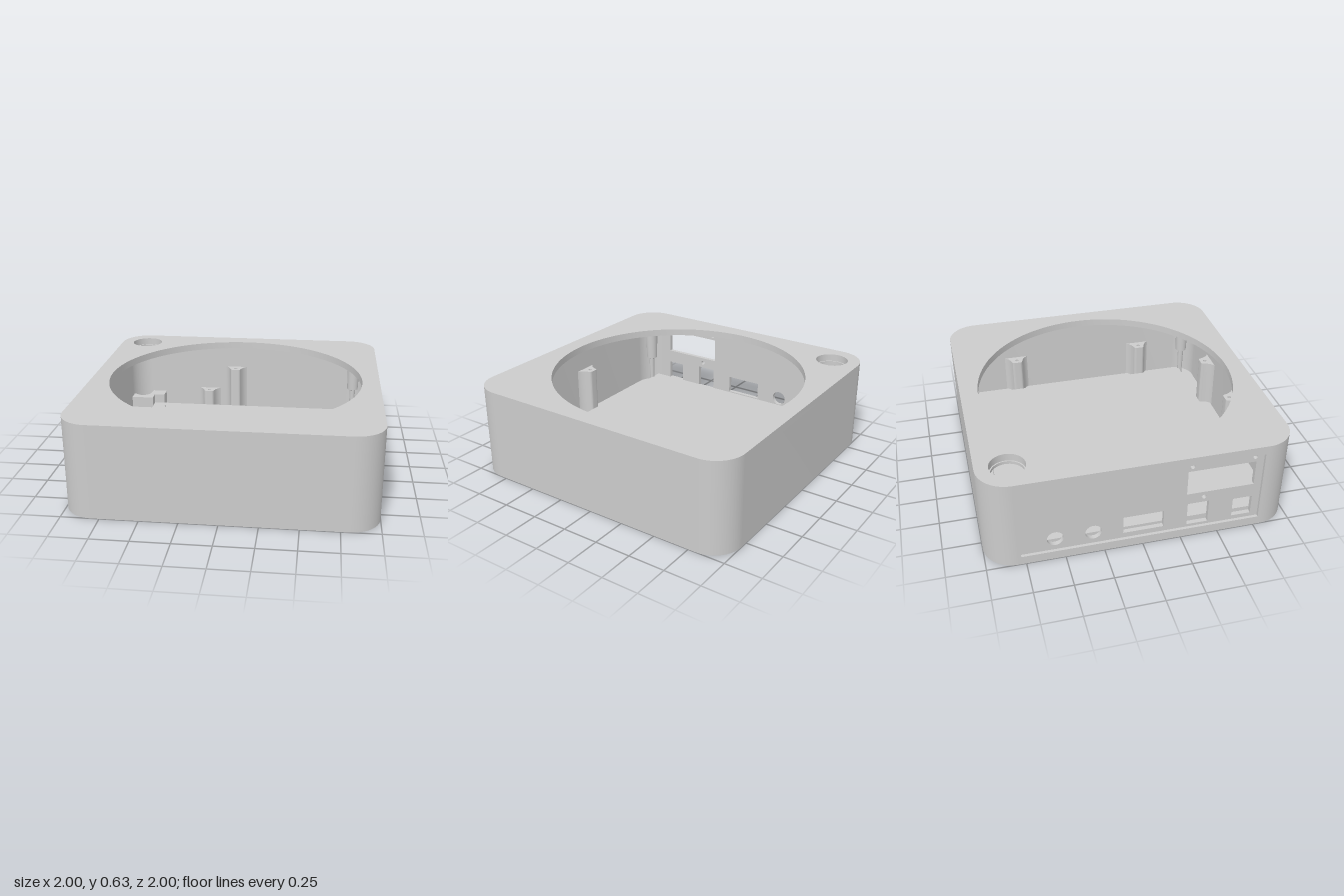
import * as THREE from 'three';
import { toCreasedNormals } from 'three/addons/utils/BufferGeometryUtils.js';

const HEIGHT = 0.63, CEILING = 0.58, INNER = 0.95;

export function createModel() {
  const model = new THREE.Group();
  const material = new THREE.MeshStandardMaterial({ color: 0xcccccc });

  function add(name, geometry) {
    const mesh = new THREE.Mesh(toCreasedNormals(geometry, 0.5), material);
    mesh.name = name;
    model.add(mesh);
    return mesh;
  }

  // Plan shapes use (x, -z); holes are [x, z, radius]
  function punch(shape, holes) {
    for (const [x, z, r] of holes) {
      shape.holes.push(new THREE.Path().absarc(x, -z, r, 0, Math.PI * 2, true));
    }
    return shape;
  }
  function slab(shape, y0, y1, curveSegments = 24) {
    const g = new THREE.ExtrudeGeometry(shape, { depth: y1 - y0, bevelEnabled: false, curveSegments });
    return g.rotateX(-Math.PI / 2).translate(0, y0, 0);
  }
  // Side shapes use (z, y) and are extruded across x
  function sideSlab(shape, x0, x1) {
    const g = new THREE.ExtrudeGeometry(shape, { depth: x1 - x0, bevelEnabled: false, curveSegments: 12 });
    return g.rotateY(-Math.PI / 2).translate(x1, 0, 0);
  }
  function rect(a0, b0, a1, b1, target = new THREE.Shape()) {
    target.moveTo(a0, b0);
    target.lineTo(a1, b0);
    target.lineTo(a1, b1);
    target.lineTo(a0, b1);
    target.closePath();
    return target;
  }
  function roundedSquare(h, r) {
    const s = new THREE.Shape(), c = h - r, q = Math.PI / 2;
    s.absarc(c, c, r, 0, q, false);
    s.absarc(-c, c, r, q, 2 * q, false);
    s.absarc(-c, -c, r, 2 * q, 3 * q, false);
    s.absarc(c, -c, r, 3 * q, 4 * q, false);
    s.closePath();
    return s;
  }

  // Outer wall, open on the port side
  const q = Math.PI / 2, c = 0.8, ro = 0.2, ri = INNER - c;
  const wall = new THREE.Shape();
  wall.absarc(-c, -c, ro, 2 * q, 3 * q, false);
  wall.absarc(c, -c, ro, 3 * q, 4 * q, false);
  wall.absarc(c, c, ro, 0, q, false);
  wall.absarc(-c, c, ro, q, 2 * q, false);
  wall.absarc(-c, c, ri, 2 * q, q, true);
  wall.absarc(c, c, ri, q, 0, true);
  wall.absarc(c, -c, ri, 4 * q, 3 * q, true);
  wall.absarc(-c, -c, ri, 3 * q, 2 * q, true);
  wall.closePath();
  add('outerWall', slab(wall, 0, CEILING));

  // Top plate with the large opening and the button hole
  add('topPlate', slab(punch(roundedSquare(1, 0.2), [[0, 0, 0.88], [-0.8, -0.8, 0.113]]), CEILING, HEIGHT, 64));
  const lip = new THREE.Shape().absarc(-0.8, 0.8, 0.125, 0, Math.PI * 2, false);
  add('buttonHoleLip', slab(punch(lip, [[-0.8, -0.8, 0.105]]), CEILING - 0.02, CEILING));

  // Frame around the recessed port panel
  const frame = rect(-0.8, 0, 0.8, CEILING);
  frame.holes.push(rect(-0.78, 0.06, 0.78, 0.572, new THREE.Path()));
  add('panelFrame', sideSlab(frame, -1, -0.98));

  // Port panel with its connector openings
  const panel = rect(-0.8, 0, 0.8, CEILING);
  const ports = [
    [-0.125, 0.098, 0.14, 0.225], [0.295, 0.08, 0.437, 0.25],
    [0.6, 0.09, 0.73, 0.23], [0.285, 0.33, 0.73, 0.51],
  ];
  for (const p of ports) panel.holes.push(rect(...p, new THREE.Path()));
  const rounds = [
    [-0.56, 0.147, 0.053], [-0.317, 0.147, 0.053],
    [0.31, 0.545, 0.016], [0.4, 0.29, 0.016], [0.72, 0.547, 0.016],
  ];
  for (const [z, y, r] of rounds) {
    panel.holes.push(new THREE.Path().absarc(z, y, r, 0, Math.PI * 2, true));
  }
  add('portPanel', sideSlab(panel, -0.98, -INNER));

  // Bottom cover: counterbored outer layer, drilled inner layer
  const corners = [[1, 1], [1, -1], [-1, 1], [-1, -1]];
  const screws = [
    ...corners.map(([a, b]) => [a * 0.85, b * 0.85, 0.028]),
    ...corners.map(([a, b]) => [a * 0.66, b * 0.765, 0.028]),
    [0.9, 0.5, 0.018], [0.9, -0.5, 0.018], [-0.1, 0.9, 0.018], [-0.1, -0.9, 0.018],
  ];
  add('bottomCover', slab(punch(roundedSquare(0.945, 0.145), screws), 0.002, 0.025));
  const narrow = screws.map(([x, z]) => [x, z, 0.013]);
  add('bottomCoverInner', slab(punch(roundedSquare(0.945, 0.145), narrow), 0.025, 0.05));

  // Raised floor with a notch under the button
  const floor = new THREE.Shape();
  const outline = [[-0.93, -0.72], [-0.77, -0.72], [-0.77, -0.84], [0.84, -0.84], [0.84, 0.84], [-0.93, 0.84]];
  floor.setFromPoints(outline.map(([x, z]) => new THREE.Vector2(x, -z)));
  const floorHoles = corners.map(([a, b]) => [a * 0.66, b * 0.765, 0.015]);
  add('raisedFloor', slab(punch(floor, floorHoles), 0.05, 0.1));

  // Button support with one scooped corner
  const support = new THREE.Shape();
  support.moveTo(-0.94, 0.76);
  support.lineTo(-0.77, 0.76);
  support.lineTo(-0.77, 0.84);
  support.lineTo(-0.69, 0.84);
  support.lineTo(-0.69, 0.94);
  support.lineTo(-0.8, 0.94);
  support.absarc(-0.87, 0.88, 0.065, 0, -Math.PI * 0.8, true);
  support.lineTo(-0.94, 0.84);
  support.closePath();
  add('buttonSupport', slab(support, 0.05, 0.17));

  // Screw posts flaring into the walls: x, z, top height, turn
  const posts = [
    [-0.1, -0.9, 0.4, 0], [-0.32, -0.9, 0.21, 0],
    [-0.1, 0.9, 0.4, Math.PI], [0.43, 0.9, 0.4, Math.PI],
    [0.9, 0.5, 0.33, -q], [0.9, -0.5, 0.33, -q],
  ];
  for (const [x, z, top, turn] of posts) {
    const s = new THREE.Shape();
    s.moveTo(-0.1, 0.055);
    s.quadraticCurveTo(-0.055, 0.04, -0.04, -0.02);
    s.quadraticCurveTo(-0.038, -0.038, -0.02, -0.038);
    s.lineTo(0.02, -0.038);
    s.quadraticCurveTo(0.038, -0.038, 0.04, -0.02);
    s.quadraticCurveTo(0.055, 0.04, 0.1, 0.055);
    s.closePath();
    const post = add('wallScrewPost', slab(punch(s, [[0, 0, 0.013]]), 0.05, top, 8));
    post.position.set(x, 0, z);
    post.rotation.y = turn;
  }

  // Corner bosses hanging from the ceiling, each on a slim pin
  for (const [a, b] of corners) {
    if (a < 0 && b < 0) continue; // kept clear for the button
    const profile = [[0, 0.05], [0.018, 0.05], [0.022, 0.27], [0.042, 0.28], [0.05, CEILING]];
    const boss = add('cornerBoss', new THREE.LatheGeometry(profile.map(([r, y]) => new THREE.Vector2(r, y)), 20));
    boss.position.set(a * 0.85, 0, b * 0.85);
  }

  return model;
}
